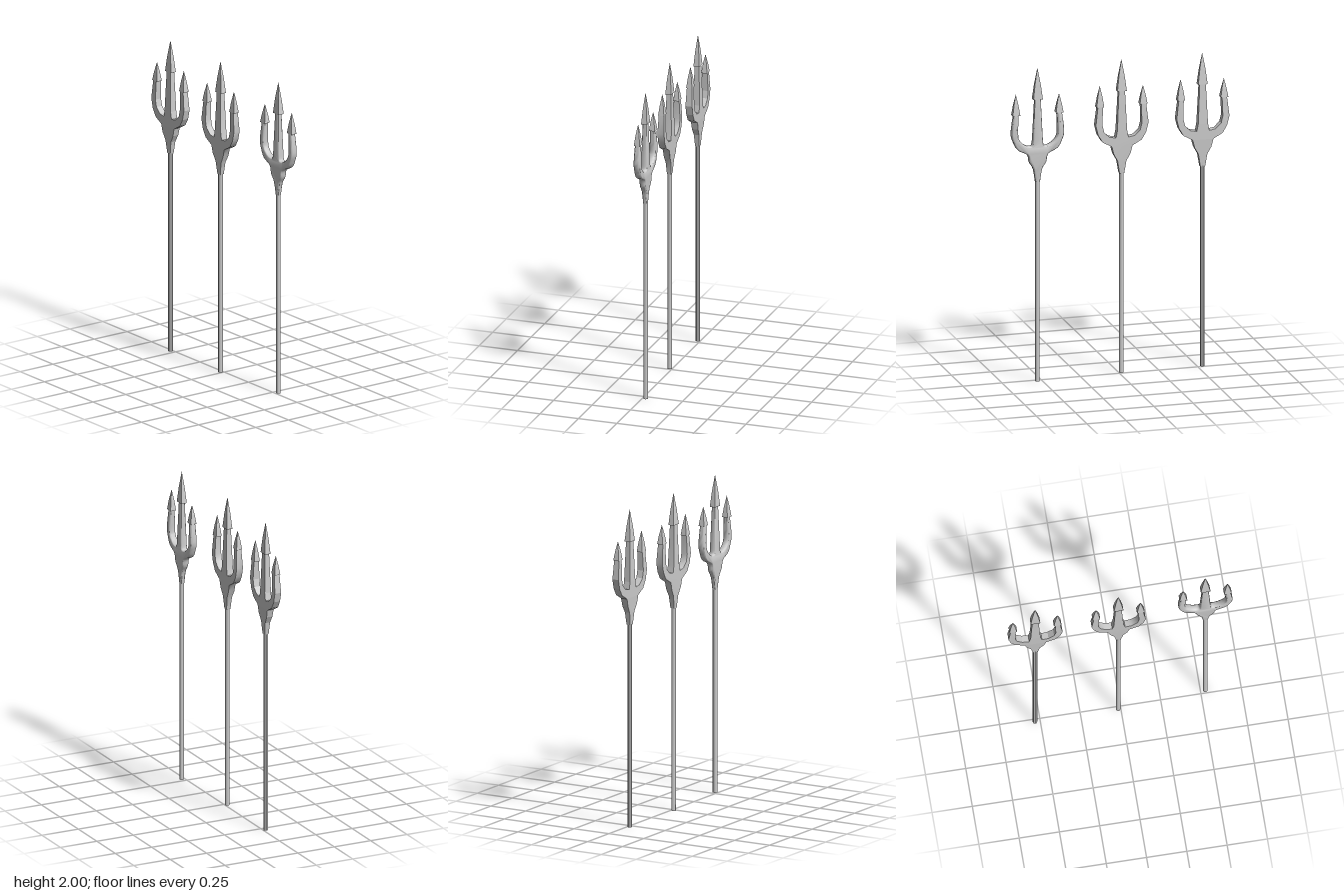
import * as THREE from 'three';
import { toCreasedNormals } from 'three/addons/utils/BufferGeometryUtils.js';

// Half outline of the fork: outer edge upwards, then inner edge down and up the middle tine
const OUTER = [[0.015, 1.275], [0.028, 1.355], [0.053, 1.4], [0.066, 1.45], [0.125, 1.483],
  [0.153, 1.53], [0.168, 1.59], [0.153, 1.715]];
const INNER = [[0.122, 1.715], [0.126, 1.59], [0.115, 1.545], [0.08, 1.512], [0.04, 1.505]];
const TINE = [[0.031, 1.55], [0.019, 1.81]];
// Half thickness of the fork by height
const DEPTH = [[1.275, 0.013], [1.355, 0.017], [1.42, 0.0215], [1.6, 0.0215], [1.715, 0.017], [1.81, 0.014]];

function halfDepth(y) {
  if (y <= DEPTH[0][0]) return DEPTH[0][1];
  for (let i = 1; i < DEPTH.length; i++) {
    const [y0, d0] = DEPTH[i - 1], [y1, d1] = DEPTH[i];
    if (y <= y1) return d0 + (d1 - d0) * (y - y0) / (y1 - y0);
  }
  return DEPTH[DEPTH.length - 1][1];
}

const vectors = (list) => list.map(([x, y]) => new THREE.Vector2(x, y));
const curved = (list, n) => new THREE.SplineCurve(vectors(list)).getPoints(n);

// Flat fork with tapering thickness; the rounded one has splined, bevelled edges
function forkGeometry(style) {
  const round = style === 'round';
  const half = round
    ? [...curved(OUTER, 28), ...curved([...INNER, TINE[0]], 22), ...vectors([TINE[1]])]
    : vectors([...OUTER, ...INNER, ...TINE]);
  const mirrored = half.map((p) => new THREE.Vector2(-p.x, p.y)).reverse();
  const bevel = round ? 0.011 : 0;
  const geometry = new THREE.ExtrudeGeometry(new THREE.Shape([...half, ...mirrored]), {
    depth: 2 - 2 * bevel / 0.0215, steps: 1, curveSegments: 1, bevelEnabled: round,
    bevelSize: bevel, bevelOffset: -bevel, bevelThickness: bevel / 0.0215, bevelSegments: 4,
  });
  geometry.translate(0, 0, -1 + bevel / 0.0215);
  const pos = geometry.attributes.position;
  for (let i = 0; i < pos.count; i++) pos.setZ(i, pos.getZ(i) * halfDepth(pos.getY(i)));
  geometry.computeVertexNormals();
  return style === 'faceted' ? geometry : toCreasedNormals(geometry, round ? 0.9 : 1.0);
}

// Four-sided, slightly bulging spear point
function pointGeometry(halfWidth, halfThick, height) {
  const r = Math.SQRT2;
  const profile = vectors([[0, 0], [r, 0], [r * 0.6, 0.48], [0, 1]]);
  const geometry = new THREE.LatheGeometry(profile, 4, Math.PI / 4);
  geometry.scale(halfWidth, height, halfThick);
  return geometry;
}

function trident(style) {
  const group = new THREE.Group();
  const flat = new THREE.MeshStandardMaterial({ color: 0xcccccc, flatShading: true });
  const smooth = new THREE.MeshStandardMaterial({ color: 0xcccccc });
  const add = (name, geometry, material, x, y) => {
    const mesh = new THREE.Mesh(geometry, material);
    mesh.name = name;
    mesh.position.set(x, y, 0);
    group.add(mesh);
  };

  // Shaft
  const sides = style === 'round' ? 12 : 8;
  const shaft = new THREE.CylinderGeometry(0.0145, 0.0145, 1.3, sides);
  add('shaft', toCreasedNormals(shaft, 1), style === 'faceted' ? flat : smooth, 0, 0.65);

  // Fork
  add('fork', forkGeometry(style), style === 'faceted' ? flat : smooth, 0, 0);

  // Spear points on the three tines
  add('middlePoint', pointGeometry(0.03, 0.019, 0.2), flat, 0, 1.8);
  add('rightPoint', pointGeometry(0.024, 0.019, 0.118), flat, -0.138, 1.707);
  add('leftPoint', pointGeometry(0.024, 0.019, 0.133), flat, 0.138, 1.707);
  return group;
}

export function createModel() {
  const model = new THREE.Group();
  model.name = 'tridentSet';
  const set = [['faceted', -0.532, 0.016], ['creased', -0.016, 0.016], ['round', 0.53, -0.02]];
  for (const [style, x, z] of set) {
    const item = trident(style);
    item.name = style + 'Trident';
    item.position.set(x, 0, z);
    model.add(item);
  }
  return model;
}
